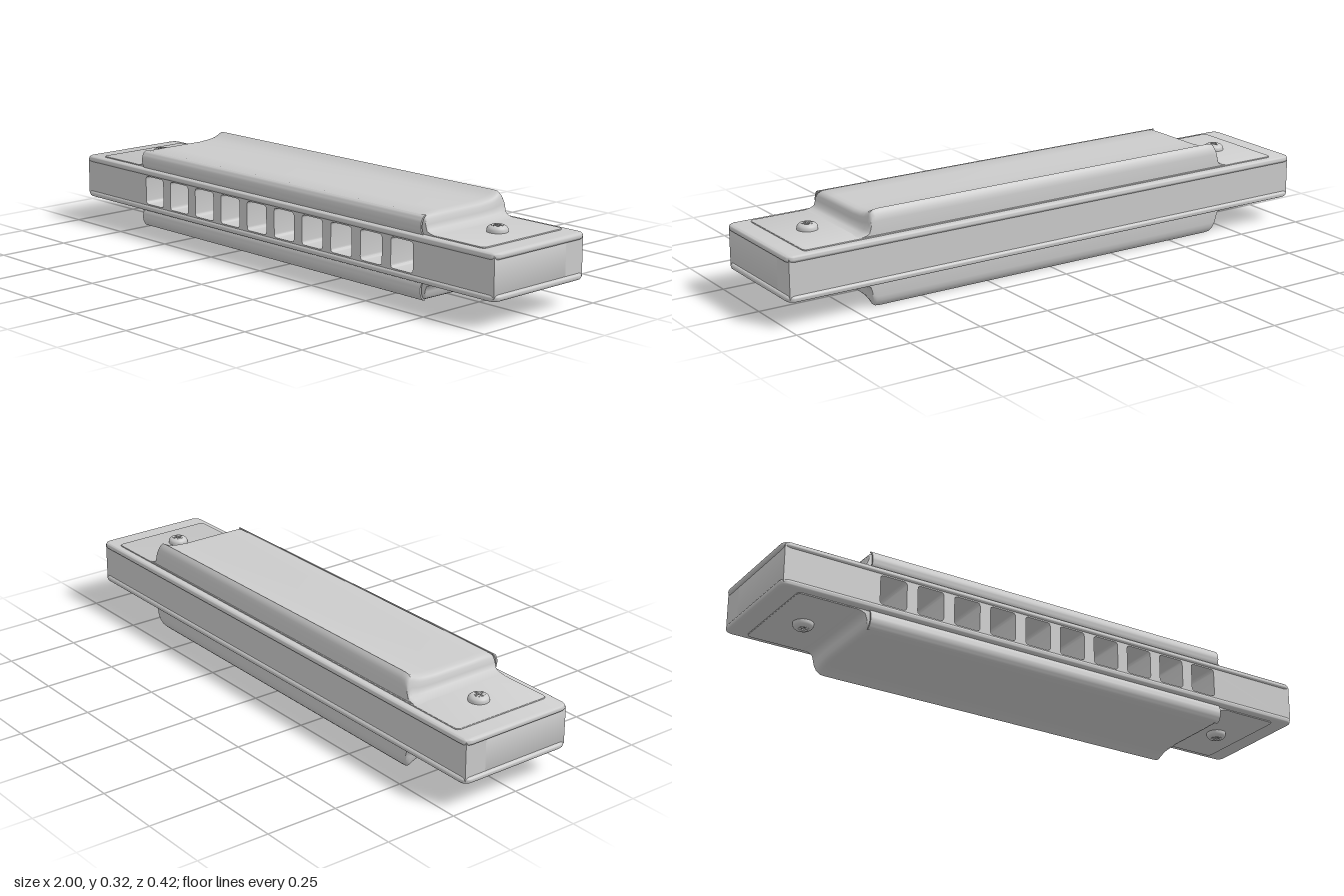
import * as THREE from 'three';
import { toCreasedNormals } from 'three/addons/utils/BufferGeometryUtils.js';

const MID = 0.16; // height of the mirror plane between upper and lower halves
const metal = new THREE.MeshStandardMaterial({ color: 0xcccccc });
const sheet = new THREE.MeshStandardMaterial({ color: 0xcccccc, side: THREE.DoubleSide });

function add(parent, name, geometry, material = metal) {
  const mesh = new THREE.Mesh(geometry, material);
  mesh.name = name;
  parent.add(mesh);
  return mesh;
}

// Rounded rectangle centred on (cx, cy)
function roundRect(path, cx, cy, w, h, r) {
  const x0 = cx - w / 2, x1 = cx + w / 2, y0 = cy - h / 2, y1 = cy + h / 2;
  path.moveTo(x0 + r, y0);
  path.lineTo(x1 - r, y0);
  path.quadraticCurveTo(x1, y0, x1, y0 + r);
  path.lineTo(x1, y1 - r);
  path.quadraticCurveTo(x1, y1, x1 - r, y1);
  path.lineTo(x0 + r, y1);
  path.quadraticCurveTo(x0, y1, x0, y1 - r);
  path.lineTo(x0, y0 + r);
  path.quadraticCurveTo(x0, y0, x0 + r, y0);
  return path;
}

// Flat plate with rounded corners and bevelled rim, spanning y0..y1
function plate(w, d, y0, y1, r, bevel) {
  const shape = roundRect(new THREE.Shape(), 0, 0, w - 2 * bevel, d - 2 * bevel, r);
  const g = new THREE.ExtrudeGeometry(shape, {
    depth: y1 - y0 - 2 * bevel, bevelEnabled: true, bevelSize: bevel,
    bevelThickness: bevel, bevelSegments: 4, curveSegments: 6,
  });
  g.rotateX(-Math.PI / 2).translate(0, y0 + bevel, 0);
  return toCreasedNormals(g, 0.6);
}

// Cover shell: one z/y profile carried along x, sinking into the plate at both ends
function coverGeometry() {
  const base = 0.077;
  const profile = [
    [0.183, base], [0.183, 0.122], [0.18, 0.131], [0.172, 0.136], [0.1, 0.137], [0, 0.137],
    [-0.06, 0.137], [-0.1, 0.14], [-0.125, 0.144], [-0.145, 0.152], [-0.16, 0.16],
    [-0.168, 0.152], [-0.175, 0.139], [-0.178, 0.124], [-0.178, base],
  ];
  const end = [[0.76, 0], [0.73, 0.03], [0.71, 0.1], [0.698, 0.22], [0.693, 0.5],
    [0.69, 0.75], [0.684, 0.9], [0.674, 0.98], [0.655, 1]];
  const stations = [...end.map(([x, f]) => [-x, f]), ...end.slice().reverse()];
  const pos = [], idx = [], n = profile.length;
  for (const [x, f] of stations)
    for (const [z, y] of profile) pos.push(x, base + (y - base) * f, z);
  for (let i = 0; i < stations.length - 1; i++)
    for (let j = 0; j < n - 1; j++) {
      const a = i * n + j, b = a + n;
      idx.push(a, b, a + 1, b, b + 1, a + 1);
    }
  const g = new THREE.BufferGeometry();
  g.setAttribute('position', new THREE.Float32BufferAttribute(pos, 3));
  g.setIndex(idx);
  return toCreasedNormals(g, 0.8);
}

// Thin curled lip along the front of a cover
function lipGeometry() {
  const s = new THREE.Shape();
  s.moveTo(-0.176, 0.136);
  s.bezierCurveTo(-0.194, 0.136, -0.208, 0.1, -0.19, 0.075);
  s.lineTo(-0.185, 0.075);
  s.bezierCurveTo(-0.201, 0.1, -0.188, 0.13, -0.176, 0.132);
  const g = new THREE.ExtrudeGeometry(s, { depth: 1.37, bevelEnabled: false, curveSegments: 10 });
  g.rotateY(Math.PI / 2).translate(-0.685, 0, 0);
  return toCreasedNormals(g, 0.6);
}

// Domed screw head with a cross recess
function screw() {
  const group = new THREE.Group();
  group.name = 'screw';
  const pts = [[0.034, 0], [0.034, 0.008], [0.031, 0.014], [0.025, 0.019], [0.019, 0.0205]]
    .map(([r, y]) => new THREE.Vector2(r, y));
  add(group, 'screwHead', new THREE.LatheGeometry(pts, 32));
  // Crown with the cross cut out, and the floor beneath it
  const crown = new THREE.Shape().absarc(0, 0, 0.0195, 0, Math.PI * 2);
  const a = 0.016, b = 0.0035;
  const cross = [[a, b], [b, b], [b, a], [-b, a], [-b, b], [-a, b],
    [-a, -b], [-b, -b], [-b, -a], [b, -a], [b, -b], [a, -b]];
  crown.holes.push(new THREE.Path(cross.map(([x, y]) => new THREE.Vector2(x, y))));
  const top = new THREE.ExtrudeGeometry(crown, { depth: 0.01, bevelEnabled: false, curveSegments: 16 });
  add(group, 'screwCrown', top.rotateX(-Math.PI / 2).translate(0, 0.011, 0));
  add(group, 'screwRecess', new THREE.CylinderGeometry(0.019, 0.019, 0.01, 24).translate(0, 0.007, 0));
  return group;
}

// Plate, cover and screws of one side
function coverHalf(name) {
  const half = new THREE.Group();
  half.name = name;
  add(half, 'reedPlate', plate(2, 0.416, 0.053, 0.075, 0.02, 0.01));
  add(half, 'coverFlange', plate(1.86, 0.364, 0.072, 0.079, 0.015, 0.002));
  add(half, 'cover', coverGeometry(), sheet);
  add(half, 'coverLip', lipGeometry(), sheet);
  for (const side of [-1, 1]) {
    const s = screw();
    s.position.set(side * 0.82, 0.079, 0);
    half.add(s);
  }
  half.position.y = MID;
  return half;
}

export function createModel() {
  const model = new THREE.Group();
  model.name = 'harmonica';

  // Comb with ten square air channels, open at the front
  const face = roundRect(new THREE.Shape(), 0, 0, 1.985, 0.13, 0.004);
  for (let i = 0; i < 10; i++)
    face.holes.push(roundRect(new THREE.Path(), (i - 4.5) * 0.1355, 0, 0.096, 0.1, 0.012));
  const comb = new THREE.ExtrudeGeometry(face, { depth: 0.325, bevelEnabled: false, curveSegments: 4 });
  add(model, 'comb', toCreasedNormals(comb.translate(0, MID, -0.122), 0.6));
  add(model, 'combBack', new THREE.BoxGeometry(1.985, 0.13, 0.08)).position.set(0, MID, -0.161);

  // Matching upper and lower halves
  const upper = coverHalf('upperCover');
  const lower = coverHalf('lowerCover');
  lower.rotation.z = Math.PI;
  model.add(upper, lower);
  return model;
}
